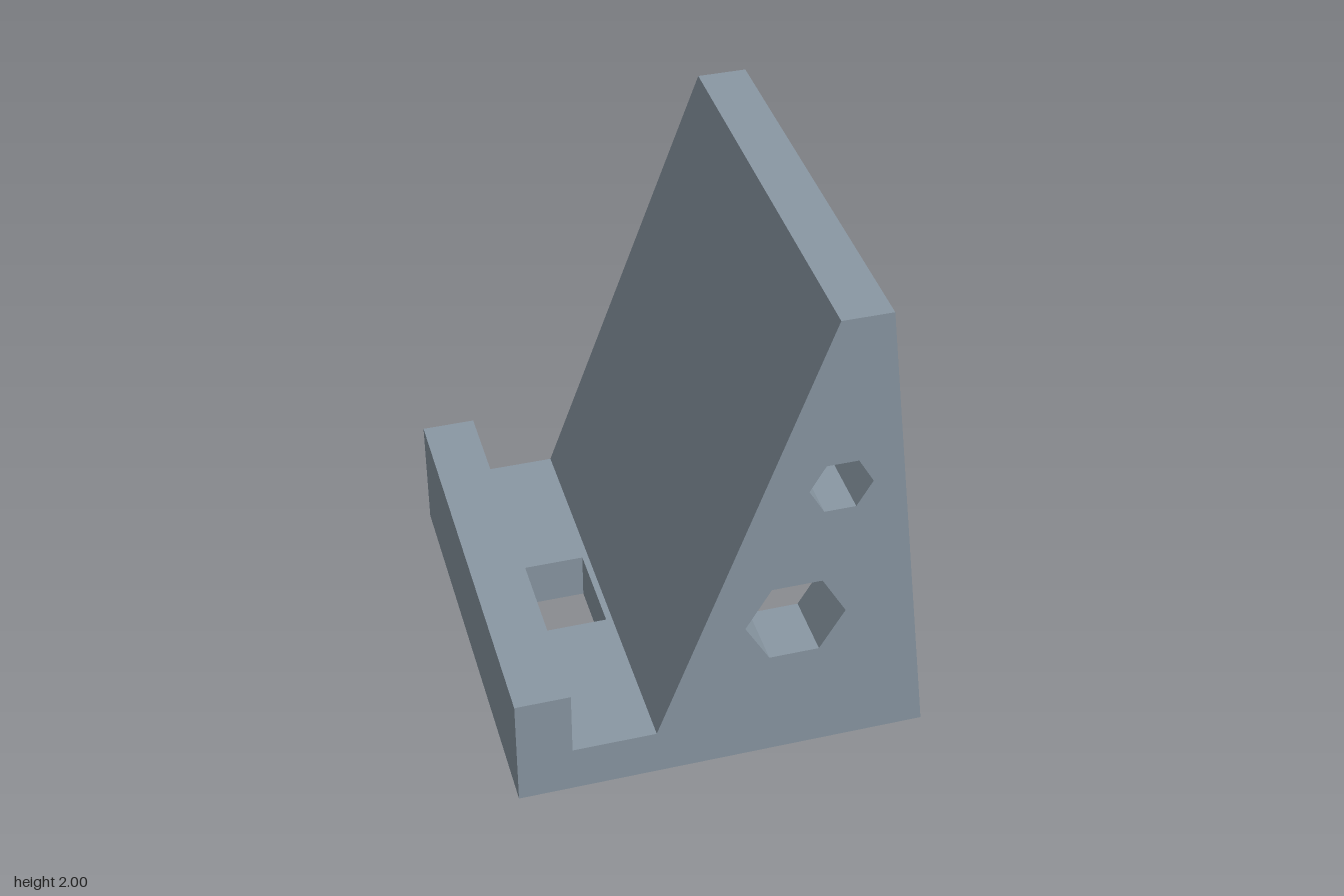
import * as THREE from 'three';

const HALF = 0.87;   // half the full width
const INNER = 0.61;  // half the width of the rear cavity

// Side profile, counter-clockwise, starting at the front foot
const PROFILE = [
  [-0.815, 0], [0.812, 0], [0.58, 2], [0.385, 2], [-0.27, 0.2],
  [-0.6, 0.2], [-0.6, 0.48], [-0.815, 0.48],
];
const [TOE, HEEL, BACK_TOP, SLOPE_TOP, SLOPE_FOOT, LIP_FOOT, LIP_IN, LIP_OUT] = PROFILE;

// Rear cavity profile, counter-clockwise
const CAVITY = [[-0.145, 0], [0.812, 0], [0.587, 1.94], [0.488, 1.94], [-0.145, 0.2]];
const LEDGE = CAVITY[2];

const hexagon = (x, y, r) => Array.from({ length: 6 }, (_, i) => {
  const a = -i * Math.PI / 3;
  return [x + r * Math.cos(a), y + r * Math.sin(a)];
});
const HOLES = [hexagon(0.27, 0.655, 0.197), hexagon(0.422, 1.265, 0.122)];
const SLOT = [[-0.557, -0.197], [-0.557, 0.197], [-0.295, 0.197], [-0.295, -0.197]];

const vecs = (pts) => pts.map(([x, y]) => new THREE.Vector2(x, y));

// Flat face with holes in the xy plane
function face(pts, holes = []) {
  const shape = new THREE.Shape(vecs(pts));
  holes.forEach((h) => shape.holes.push(new THREE.Path(vecs(h))));
  return new THREE.ShapeGeometry(shape);
}

// Turns a face to look the other way
function flipped(geometry) {
  const g = geometry.clone();
  g.setIndex(Array.from(g.index.array).reverse());
  g.computeVertexNormals();
  return g;
}

// Wall swept along z over a path; it faces the right-hand side of the path
function wall(path, z0, z1, smooth = false) {
  const pos = [], index = [];
  path.forEach(([x, y], i) => {
    pos.push(x, y, z0, x, y, z1);
    const a = i * 2;
    if (i < path.length - 1) index.push(a, a + 2, a + 3, a, a + 3, a + 1);
  });
  let g = new THREE.BufferGeometry();
  g.setAttribute('position', new THREE.Float32BufferAttribute(pos, 3));
  g.setIndex(index);
  if (!smooth) g = g.toNonIndexed();
  g.computeVertexNormals();
  return g;
}

export function createModel() {
  const model = new THREE.Group();
  model.name = 'stand';
  const grey = new THREE.MeshStandardMaterial({ color: 0x8a98a4 });
  grey.name = 'blue grey';

  const add = (name, geometry, y = 0, z = 0) => {
    const mesh = new THREE.Mesh(geometry, grey);
    mesh.name = name;
    mesh.position.set(0, y, z);
    model.add(mesh);
  };

  // Outer and inner cheeks with hexagonal holes
  const outer = face(PROFILE, HOLES);
  const inner = face(CAVITY, HOLES);
  add('frontCheek', outer, 0, HALF);
  add('rearCheek', flipped(outer), 0, -HALF);
  add('frontCheekInside', flipped(inner), 0, INNER);
  add('rearCheekInside', inner, 0, -INNER);

  // Hole linings and rear edges of both cheeks
  for (const [z0, z1] of [[INNER, HALF], [-HALF, -INNER]]) {
    HOLES.forEach((h) => add('holeLining', wall([...h, h[0]], z0, z1)));
    add('legEdge', wall([HEEL, LEDGE], z0, z1));
  }

  // Head, sloping rest and retaining lip
  add('headBack', wall([LEDGE, BACK_TOP], -HALF, HALF));
  add('restAndTop', wall([BACK_TOP, SLOPE_TOP, SLOPE_FOOT], -HALF, HALF));
  add('lip', wall([LIP_FOOT, LIP_IN, LIP_OUT, TOE], -HALF, HALF));

  // Cavity ceiling and the rest's underside, softly shaded at its foot
  add('cavityCeiling', wall([CAVITY[3], LEDGE], -INNER, INNER));
  add('restUnderside', wall([CAVITY[0], CAVITY[4], CAVITY[3]], -INNER, INNER, true));

  // Channel floor, base and the slot through them
  const floor = face([[LIP_FOOT[0], -HALF], [SLOPE_FOOT[0], -HALF],
    [SLOPE_FOOT[0], HALF], [LIP_FOOT[0], HALF]], [SLOT]);
  add('channelFloor', floor.rotateX(-Math.PI / 2), 0.2);
  const base = face([[TOE[0], -HALF], [HEEL[0], -HALF], [HEEL[0], -INNER],
    [CAVITY[0][0], -INNER], [CAVITY[0][0], INNER], [HEEL[0], INNER],
    [HEEL[0], HALF], [TOE[0], HALF]], [SLOT]);
  add('base', base.rotateX(Math.PI / 2));
  add('slotLining', wall([...SLOT, SLOT[0]], 0, 0.2).rotateX(-Math.PI / 2));

  return model;
}
